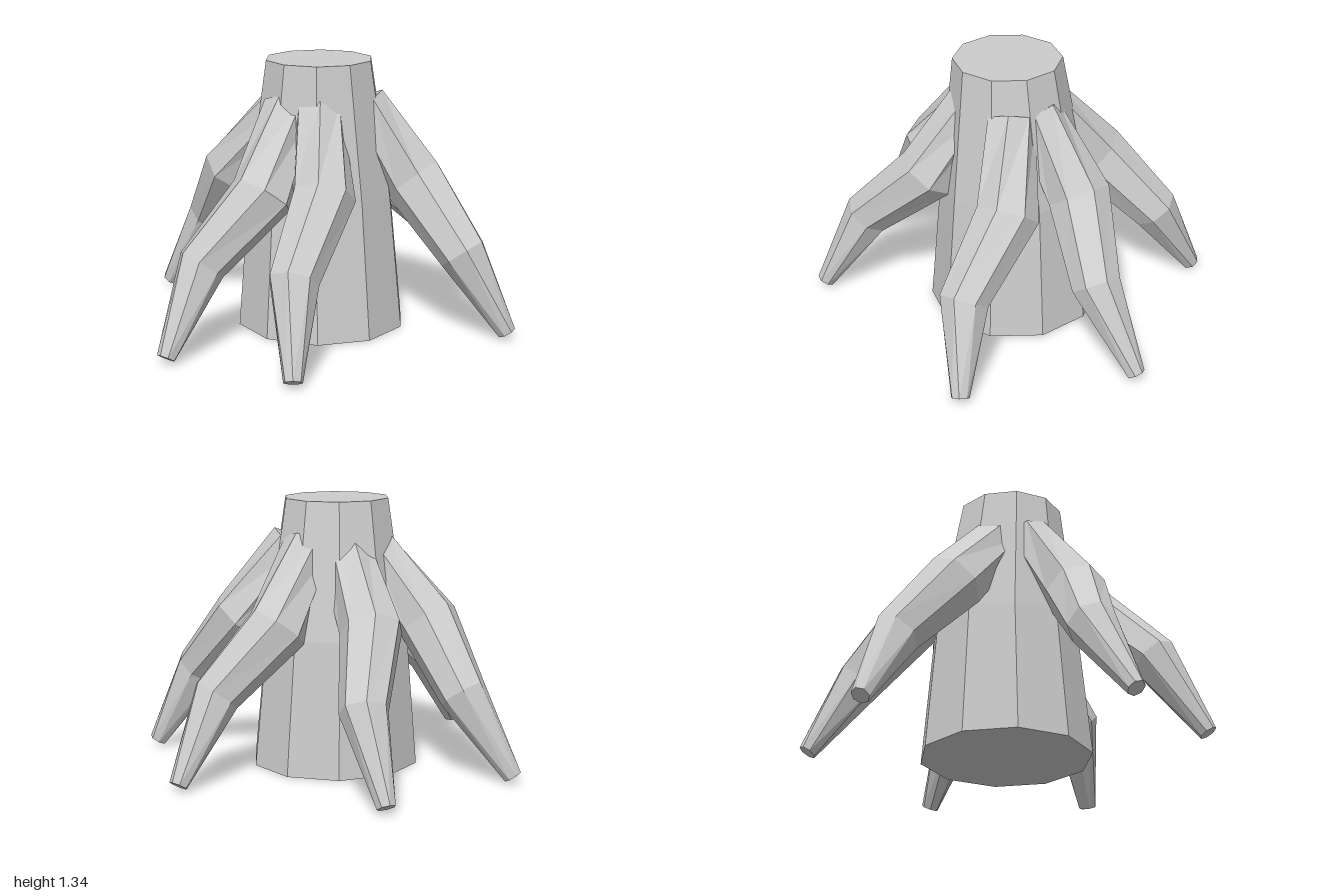
import * as THREE from 'three';

// Skin polygon rings around centres; each ring is [x, y, z, radius]
function loft(rings, sides, ref, fixedTangent) {
  const centres = rings.map(([x, y, z]) => new THREE.Vector3(x, y, z));
  const last = rings.length - 1;
  const loops = centres.map((c, i) => {
    const t = fixedTangent ? fixedTangent.clone() : new THREE.Vector3();
    if (!fixedTangent) {
      if (i > 0) t.add(c.clone().sub(centres[i - 1]).normalize());
      if (i < last) t.add(centres[i + 1].clone().sub(c).normalize());
      t.normalize();
    }
    const n = ref.clone().cross(t).normalize();
    const b = t.clone().cross(n);
    return Array.from({ length: sides }, (_, j) => {
      const a = Math.PI / 2 + (j / sides) * Math.PI * 2;
      return c.clone()
        .addScaledVector(n, Math.cos(a) * rings[i][3])
        .addScaledVector(b, Math.sin(a) * rings[i][3]);
    });
  });
  const pts = [];
  for (let j = 0; j < sides; j++) {
    const k = (j + 1) % sides;
    for (let i = 0; i < last; i++) {
      const [a, b, c, d] = [loops[i][j], loops[i][k], loops[i + 1][k], loops[i + 1][j]];
      pts.push(a, b, c, a, c, d);
    }
    pts.push(centres[0], loops[0][k], loops[0][j]);
    pts.push(centres[last], loops[last][j], loops[last][k]);
  }
  const geometry = new THREE.BufferGeometry().setFromPoints(pts);
  geometry.computeVertexNormals();
  return geometry;
}

export function createModel() {
  const group = new THREE.Group();
  group.name = 'rootedStump';
  const bark = new THREE.MeshStandardMaterial({ color: 0xcccccc });
  bark.name = 'bark grey';
  bark.flatShading = true;
  const up = new THREE.Vector3(0, 1, 0);

  const add = (name, geometry) => {
    const mesh = new THREE.Mesh(geometry, bark);
    mesh.name = name;
    group.add(mesh);
  };

  // Ten-sided tapering trunk
  add('trunk', loft([
    [0.015, 0.01, 0.065, 0.425],
    [0.01, 0.68, 0.06, 0.365],
    [-0.01, 1.345, 0.08, 0.265],
  ], 10, new THREE.Vector3(0, 0, 1), up));

  // Crooked roots: shoulder, upper knee, lower knee, tip
  const radii = [0.125, 0.155, 0.12, 0.045];
  const roots = {
    leftRoot: [[0.18, 1.12, 0.06], [0.43, 0.75, -0.01], [0.71, 0.435, 0.11], [0.965, 0.04, 0.065]],
    frontLeftRoot: [[0.16, 1.12, 0.2], [0.36, 0.75, 0.37], [0.43, 0.435, 0.68], [0.595, 0.04, 0.83]],
    frontRightRoot: [[-0.11, 1.12, 0.22], [-0.21, 0.75, 0.42], [-0.5, 0.435, 0.61], [-0.63, 0.04, 0.81]],
    rightRoot: [[-0.19, 1.12, 0.09], [-0.43, 0.75, 0.23], [-0.72, 0.435, 0.15], [-0.96, 0.04, 0.23]],
    backRightRoot: [[-0.11, 1.12, -0.04], [-0.25, 0.75, -0.34], [-0.23, 0.435, -0.62], [-0.37, 0.04, -0.83]],
    backLeftRoot: [[0.05, 1.12, -0.05], [0.13, 0.75, -0.36], [0.36, 0.435, -0.58], [0.42, 0.04, -0.81]],
  };
  for (const [name, path] of Object.entries(roots)) {
    add(name, loft(path.map((p, i) => [...p, radii[i]]), 7, up));
  }
  return group;
}
